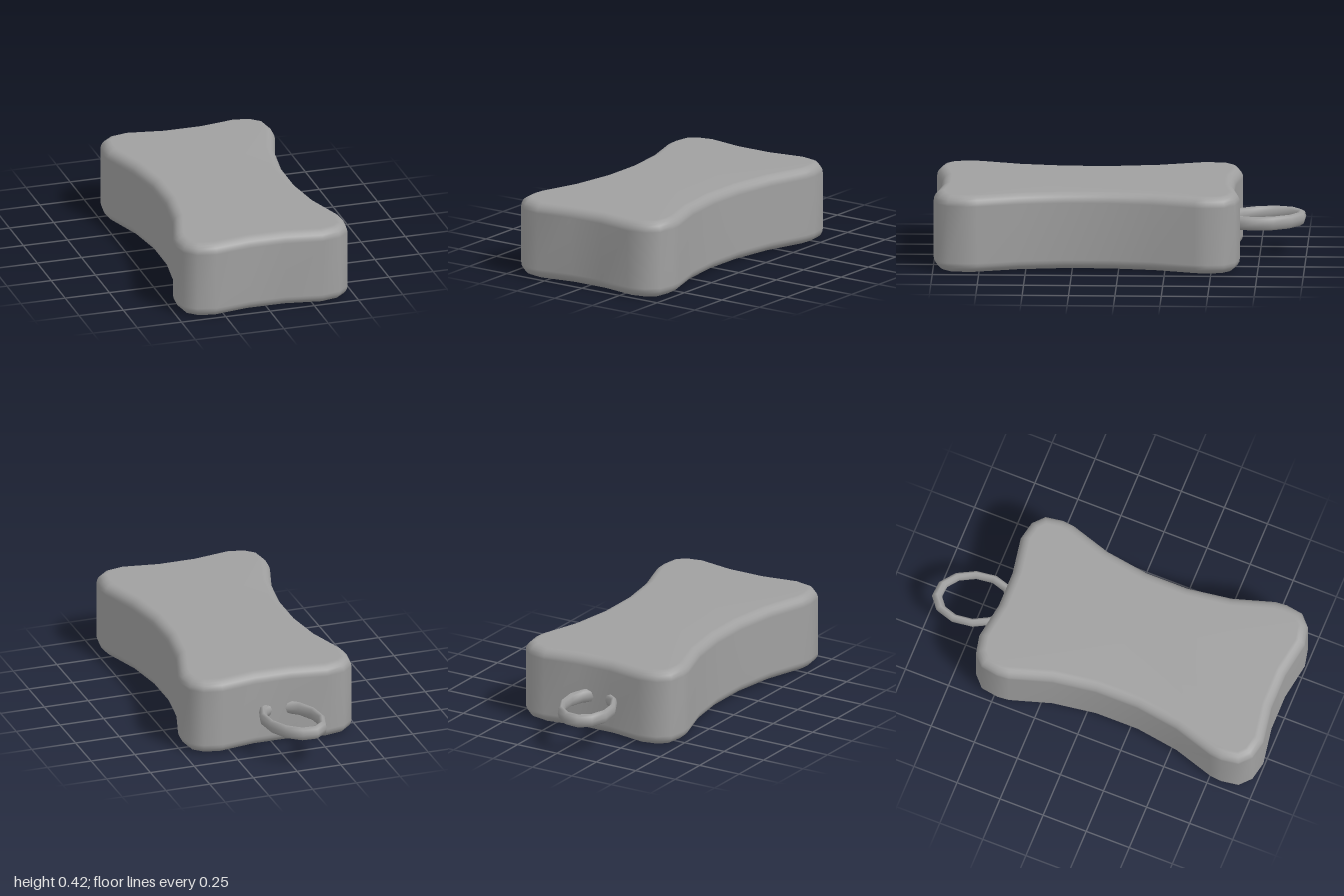
import * as THREE from 'three';

const material = new THREE.MeshStandardMaterial({ color: 0xa0a0a0 });

// One quarter of the waisted outline: x, z from the body's centre
const QUARTER = [
  [0.367, 0.12], [0.402, 0.36], [0.472, 0.585], [0.478, 0.65],
  [0.463, 0.746], [0.402, 0.803], [0.3, 0.825], [0.1, 0.792],
];

// Mirror the quarter into a closed loop running from +x towards +z
function outline() {
  const back = [...QUARTER].reverse();
  return [
    ...QUARTER,
    ...back.map(([x, z]) => [-x, z]),
    ...QUARTER.map(([x, z]) => [-x, -z]),
    ...back.map(([x, z]) => [x, -z]),
  ].map(([x, z]) => new THREE.Vector2(x, z));
}

// Move every point of the loop inwards along its local normal
function inset(loop, d) {
  const n = loop.length;
  return loop.map((p, i) => {
    const t = loop[(i + 1) % n].clone().sub(loop[(i + n - 1) % n]).normalize();
    return new THREE.Vector2(p.x - t.y * d, p.y + t.x * d);
  });
}

function bodyGeometry() {
  const height = 0.424, bevel = 0.055, steps = 5;
  const loop = outline(), n = loop.length;

  // Rounded rim profile: [inset, height], bottom half then mirrored top half
  const lower = [];
  for (let s = 0; s <= steps; s++) {
    const a = (s / steps) * Math.PI / 2;
    lower.push([bevel * (1 - Math.sin(a)), bevel * (1 - Math.cos(a))]);
  }
  const profile = [...lower, ...[...lower].reverse().map(([d, y]) => [d, height - y])];

  const pos = [], idx = [];
  for (const [d, y] of profile) for (const p of inset(loop, d)) pos.push(p.x, y, p.y);
  const bottom = pos.length / 3, top = bottom + 1;
  pos.push(0, 0, 0, 0, height, 0);

  const last = (profile.length - 1) * n;
  for (let j = 0; j < n; j++) {
    const k = (j + 1) % n;
    for (let r = 0; r < last; r += n) {
      idx.push(r + j, r + n + j, r + k, r + n + j, r + n + k, r + k);
    }
    idx.push(bottom, j, k, top, last + k, last + j); // end caps
  }
  const g = new THREE.BufferGeometry();
  g.setAttribute('position', new THREE.Float32BufferAttribute(pos, 3));
  g.setIndex(idx);
  g.computeVertexNormals();
  return g;
}

export function createModel() {
  const model = new THREE.Group();
  model.name = 'bonePendant';

  const body = new THREE.Mesh(bodyGeometry(), material);
  body.name = 'body';
  body.position.z = 0.173;
  model.add(body);

  // Oval hanging ring, partly sunk into the back of the body
  const ringGeometry = new THREE.TorusGeometry(0.202, 0.028, 8, 12);
  ringGeometry.scale(0.68, 1, 1.35);
  ringGeometry.rotateX(Math.PI / 2);
  const ring = new THREE.Mesh(ringGeometry, material);
  ring.name = 'ring';
  ring.position.set(-0.055, 0.2, -0.778);
  ring.rotation.y = 0.305;
  model.add(ring);

  return model;
}
